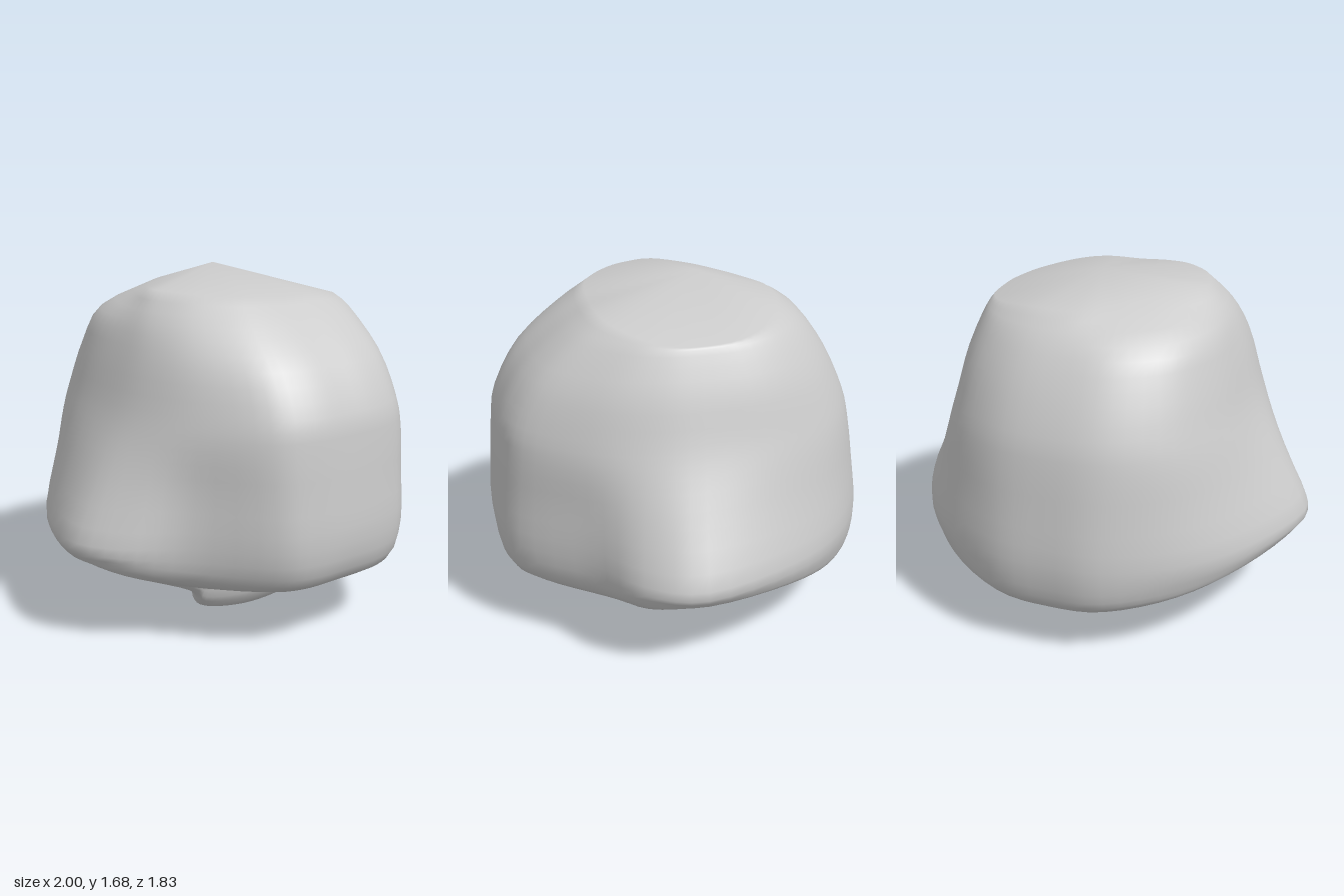
import * as THREE from 'three';

const V = (x, y, z) => new THREE.Vector3(x, y, z);
const AROUND = 4, DOWN = 3; // spline subdivisions between control points

// Half outlines from front to back: [x / halfWidth, z / depth]
const SKULL = [[0, 1], [.3, .99], [.57, .89], [.84, .6], [.97, .3], [1, 0], [.95, -.4], [.75, -.74], [.4, -.95], [0, -1]];
const FLARE = [[0, 1], [.22, .985], [.4, .9], [.64, .57], [.89, .35], [1, .05], [.835, -.435], [.6, -.765], [.28, -.97], [0, -1]];

// Upper rings: [y, front z, back depth, half width, blend towards the flared outline]
const RINGS = [
  [1.58, .41, .48, .47, 0],
  [1.47, .57, .62, .585, 0],
  [1.30, .755, .74, .655, 0],
  [1.10, .865, .83, .715, .1],
  [.95, .89, .865, .775, .25],
  [.75, .905, .89, .875, .65],
  [.50, .915, .915, 1, 1],
];

// Lower edge rows, front to back
const BULGE = [[0, .315, .855], [.22, .315, .845], [.39, .325, .765], [.63, .34, .49], [.885, .41, .305],
  [.965, .41, .04], [.815, .39, -.39], [.585, .36, -.68], [.28, .33, -.87], [0, .32, -.895]];
const UNDERSIDE = [[0, .25, .65], [.2, .25, .64], [.36, .25, .58], [.56, .268, .42], [.86, .365, .295],
  [.945, .4, .03], [.79, .36, -.38], [.57, .31, -.66], [.27, .265, -.83], [0, .25, -.855]];
const THROAT_TOP = [[0, .25, .37], [.19, .25, .37], [.37, .245, .365], [.51, .24, .345], [.84, .352, .29],
  [.93, .395, .03], [.775, .358, -.375], [.555, .3, -.64], [.265, .255, -.81], [0, .245, -.83]];
// The last rows only change in front, where the throat lip hangs down
const LIP = [
  [[0, .1, .315], [.19, .105, .315], [.39, .14, .31], [.485, .215, .325], [.835, .35, .288]],
  [[0, .005, .24], [.18, .02, .24], [.36, .07, .245], [.475, .19, .295], [.83, .35, .286]],
  [[0, .01, .12], [.17, .022, .12], [.35, .08, .16], [.475, .2, .265], [.825, .353, .284]],
  [[0, .205, .01], [.15, .215, .05], [.32, .235, .13], [.49, .275, .25], [.82, .36, .28]],
];

// Mirror a half row into a closed ring
function mirrorRow(half) {
  const left = half.map(p => V(...p));
  const right = left.slice(1, -1).reverse().map(p => V(-p.x, p.y, p.z));
  return [...left, ...right];
}

function controlRows() {
  const rows = RINGS.map(([y, zf, zb, w, k]) => mirrorRow(SKULL.map(([u, v], i) => {
    const x = THREE.MathUtils.lerp(u, FLARE[i][0], k) * w;
    const d = THREE.MathUtils.lerp(v, FLARE[i][1], k);
    return [x, y, d > 0 ? d * zf : d * zb];
  })));
  // Lopsided crown: lower and wider on the left, raised on the right, cut off at the back right
  for (const p of rows[0]) {
    const s = Math.abs(p.x) / .47;
    if (p.x > 0) {
      p.y -= .075 * s * s;
      p.x *= 1.2;
    } else {
      p.y += .03 * s - .005;
      const cut = p.z < 0 ? 1 - .5 * p.x * p.z / (p.x * p.x + p.z * p.z) : 1;
      p.x *= cut;
      p.z *= cut;
    }
  }
  rows.push(mirrorRow(BULGE), mirrorRow(UNDERSIDE), mirrorRow(THROAT_TOP));
  LIP.forEach((front, n) => {
    const s = 1 - .003 * (n + 1);
    const rest = THROAT_TOP.slice(5).map(([x, y, z]) => [x * s, y + .002 * (n + 1), z * s]);
    rows.push(mirrorRow([...front, ...rest]));
  });
  return rows;
}

function shellGeometry() {
  // Smooth each row around, then each column downwards
  const rings = controlRows().map(r =>
    new THREE.CatmullRomCurve3(r, true, 'catmullrom', .5).getPoints(r.length * AROUND).slice(0, -1));
  const cols = rings[0].map((_, i) =>
    new THREE.CatmullRomCurve3(rings.map(r => r[i]), false, 'catmullrom', .5).getPoints((rings.length - 1) * DOWN));
  const n = cols.length, m = cols[0].length;

  const pos = [0, 1.68, -.12]; // crown peak
  const index = [];
  for (let j = 0; j < m; j++) for (let i = 0; i < n; i++) {
    const p = cols[i][j];
    pos.push(p.x, Math.max(p.y, 0), p.z);
  }
  const id = (j, i) => 1 + j * n + i % n;
  for (let i = 0; i < n; i++) {
    index.push(0, id(0, i), id(0, i + 1));
    for (let j = 0; j < m - 1; j++) {
      const a = id(j, i), b = id(j + 1, i), c = id(j + 1, i + 1), d = id(j, i + 1);
      index.push(a, b, d, b, c, d);
    }
  }
  const g = new THREE.BufferGeometry();
  g.setAttribute('position', new THREE.Float32BufferAttribute(pos, 3));
  g.setIndex(index);
  g.computeVertexNormals();
  return g;
}

export function createModel() {
  const group = new THREE.Group();
  group.name = 'hollowHead';
  // Open shell with flared cheeks and a hanging throat lip
  const shell = new THREE.Mesh(shellGeometry(),
    new THREE.MeshStandardMaterial({ color: 0xcccccc, side: THREE.DoubleSide }));
  shell.name = 'headShell';
  group.add(shell);
  return group;
}
